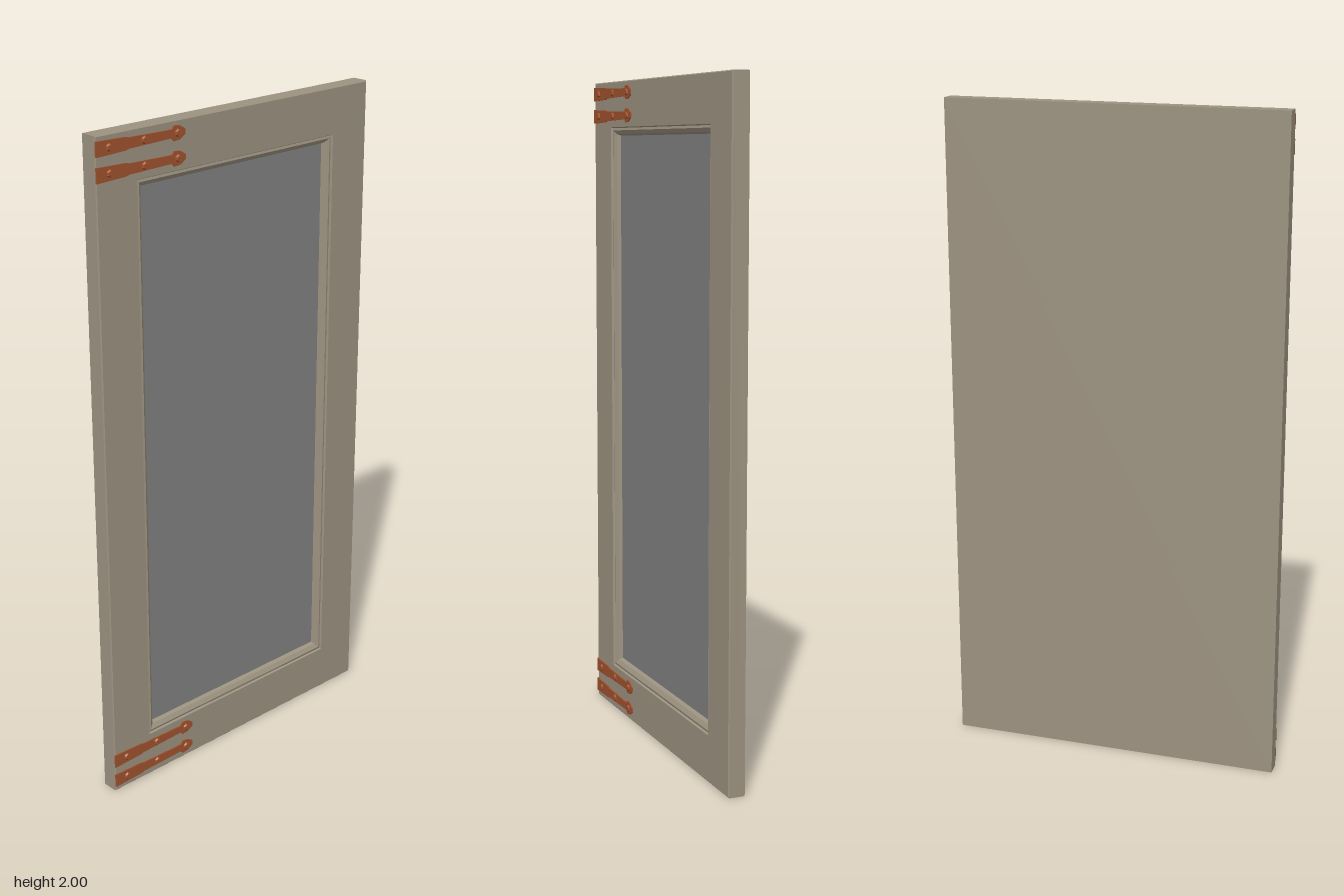
import * as THREE from 'three';

const wood = new THREE.MeshStandardMaterial({ name: 'wood', color: 0x9c9280 });
const pane = new THREE.MeshStandardMaterial({ name: 'greyPanel', color: 0x808080 });
const rust = new THREE.MeshStandardMaterial({ name: 'rustyIron', color: 0xa0522d });

const FRONT = 0.019, BACK = -0.032;

// Skin nested rectangles [halfWidth, bottom, top, z] into one flat-faced surface
function rectLoft(rings) {
  const pos = [];
  const corners = ([w, b, t, z]) => [[-w, b, z], [w, b, z], [w, t, z], [-w, t, z]];
  const quad = (a, b, c, d) => pos.push(...a, ...b, ...c, ...a, ...c, ...d);
  for (let i = 0; i < rings.length - 1; i++) {
    const p = corners(rings[i]), q = corners(rings[i + 1]);
    for (let k = 0; k < 4; k++) {
      const n = (k + 1) % 4;
      quad(p[k], p[n], q[n], q[k]);
    }
  }
  const [a, b, c, d] = corners(rings[0]);
  quad(a, d, c, b); // flat back
  const geo = new THREE.BufferGeometry();
  geo.setAttribute('position', new THREE.Float32BufferAttribute(pos, 3));
  geo.computeVertexNormals();
  return geo;
}

function mesh(name, geo, mat, parent) {
  const m = new THREE.Mesh(geo, mat);
  m.name = name;
  parent.add(m);
  return m;
}

// Strap hinge with a spear-shaped tip and three hexagonal bolts
function makeHinge() {
  const hinge = new THREE.Group();
  hinge.name = 'strapHinge';
  const half = [[-0.51, 0.021], [-0.41, 0.018], [-0.4, 0.015], [-0.27, 0.012],
    [-0.25, 0.012], [-0.243, 0.021], [-0.222, 0.019], [-0.203, 0.007]];
  const outline = [...half.map(([x, y]) => new THREE.Vector2(x, -y)),
    ...half.slice().reverse().map(([x, y]) => new THREE.Vector2(x, y))];
  const plate = mesh('hingeStrap', new THREE.ExtrudeGeometry(new THREE.Shape(outline),
    { depth: 0.005, bevelEnabled: false }), rust, hinge);
  plate.position.z = FRONT - 0.001;
  for (const x of [-0.466, -0.347, -0.23]) {
    const bolt = mesh('hingeBolt', new THREE.CylinderGeometry(0.008, 0.012, 0.006, 6).toNonIndexed(), rust, hinge);
    bolt.geometry.computeVertexNormals();
    bolt.rotation.x = Math.PI / 2;
    bolt.position.set(x, 0, FRONT + 0.006);
  }
  return hinge;
}

export function createModel() {
  const door = new THREE.Group();
  door.name = 'cabinetDoor';

  // Slab, front frame and stepped moulding around the opening
  mesh('doorFrame', rectLoft([
    [0.51, 0, 2, BACK],
    [0.51, 0, 2, FRONT - 0.003],
    [0.507, 0.003, 1.997, FRONT],
    [0.372, 0.14, 1.862, FRONT],
    [0.369, 0.143, 1.859, 0.013],
    [0.362, 0.15, 1.852, 0.015],
    [0.351, 0.163, 1.841, 0.007],
    [0.347, 0.168, 1.836, -0.004],
  ]), wood, door);

  // Recessed panel
  const panel = mesh('insetPanel', new THREE.PlaneGeometry(0.694, 1.668), pane, door);
  panel.position.set(0, 1.002, -0.004);

  // Two hinges at the top and two at the bottom
  for (const y of [1.965, 1.896, 0.105, 0.037]) {
    const hinge = makeHinge();
    hinge.position.y = y;
    door.add(hinge);
  }
  return door;
}
